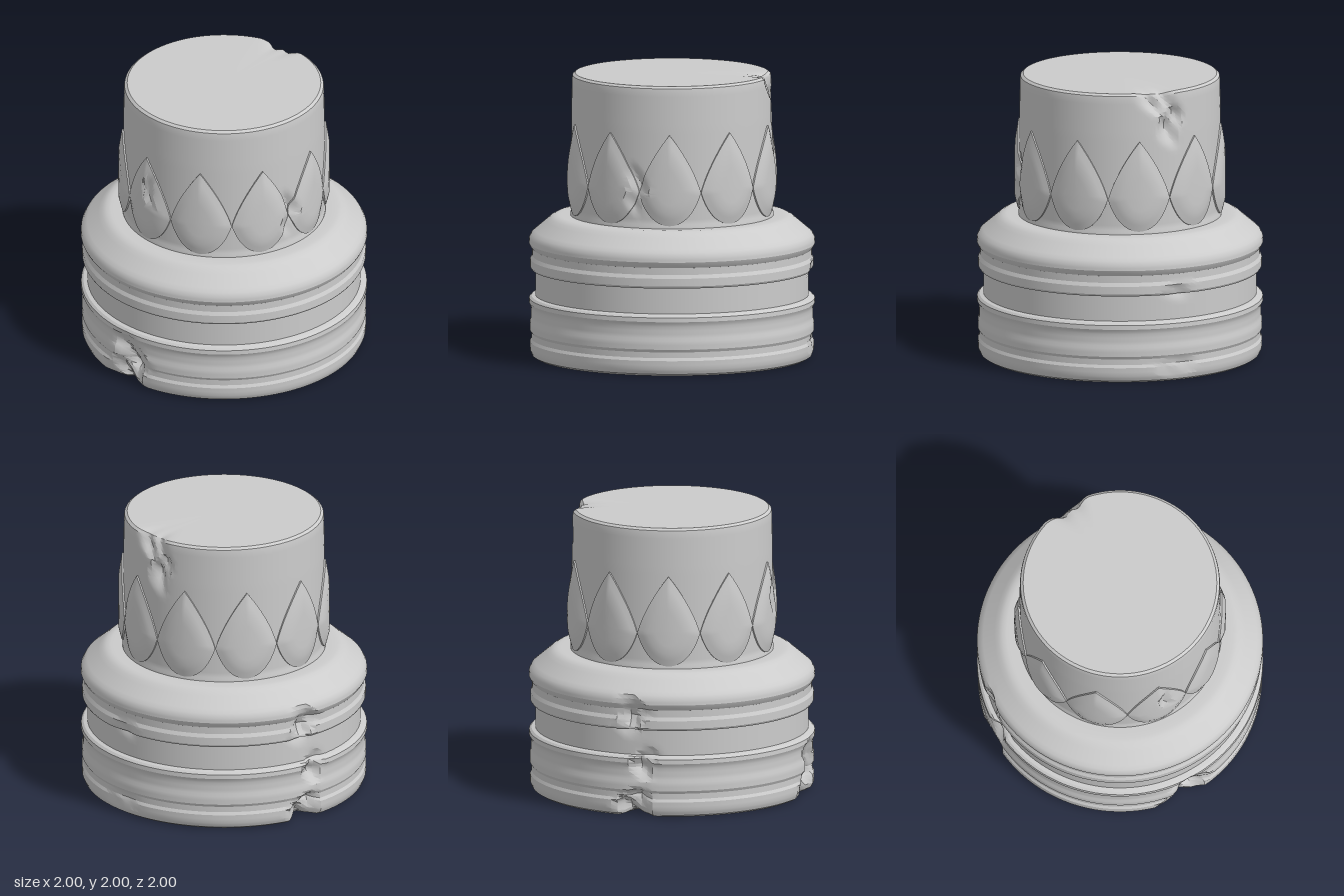
import * as THREE from 'three';
import { toCreasedNormals } from 'three/addons/utils/BufferGeometryUtils.js';

const material = new THREE.MeshStandardMaterial({ color: 0xcccccc });

// Worn spots: azimuth in degrees from the front, height, half angle, half height, depth, drop of the rim
const chips = [
  [-65, 0.13, 0.17, 0.3, 0.1, 0],
  [-70, 0.02, 0.15, 0.16, 0.05, 0],
  [203, 0.05, 0.14, 0.17, 0.09, -0.04],
  [207, 0.38, 0.1, 0.13, 0.06, 0],
  [201, 0.72, 0.11, 0.17, 0.07, 0],
  [123, 0.64, 0.14, 0.07, 0.025, 0],
  [122, 0.1, 0.2, 0.08, 0.015, 0],
  [121, 1.98, 0.26, 0.17, 0.06, 0.03],
  [127, 1.78, 0.15, 0.2, 0.06, 0],
  [17, 1.27, 0.1, 0.2, 0.035, 0],
  [-68, 1.4, 0.08, 0.15, 0.03, 0],
];

// Pushes vertices inward at the worn spots; caps fade out towards the axis
function wear(geometry, rim) {
  const p = geometry.attributes.position;
  for (let i = 0; i < p.count; i++) {
    const x = p.getX(i), y = p.getY(i), z = p.getZ(i);
    const r = Math.hypot(x, z), a = Math.atan2(x, z);
    let push = 0, drop = 0;
    for (const [deg, cy, ha, hy, depth, fall] of chips) {
      let da = a - THREE.MathUtils.degToRad(deg) + 0.03 * Math.sin(y * 23);
      da = Math.atan2(Math.sin(da), Math.cos(da));
      const d2 = (da / ha) ** 2 + ((y - cy) / hy) ** 2;
      if (d2 >= 1) continue;
      const w = (1 - d2) * Math.sqrt(1 - d2) * (0.9 + 0.25 * Math.sin(31 * a + 27 * y));
      push = Math.max(push, depth * w);
      drop += fall * w;
    }
    const fade = Math.min(1, (r / rim) ** 7);
    const s = r > 0 ? (r - push * fade) / r : 1;
    p.setXYZ(i, x * s, y - drop * fade, z * s);
  }
  return toCreasedNormals(geometry, 0.45);
}

// Revolved solid with its profile split finely enough to carry the wear
function turned(name, profile, segments, rim) {
  const points = [new THREE.Vector2(...profile[0])];
  for (let i = 1; i < profile.length; i++) {
    const a = new THREE.Vector2(...profile[i - 1]), b = new THREE.Vector2(...profile[i]);
    const n = Math.ceil(a.distanceTo(b) / 0.035);
    for (let k = 1; k <= n; k++) points.push(a.clone().lerp(b, k / n));
  }
  const mesh = new THREE.Mesh(wear(new THREE.LatheGeometry(points, segments), rim), material);
  mesh.name = name;
  return mesh;
}

// Raised teardrop wrapped on the drum, lofted from its outline to its flat centre
function petal(angle, outline) {
  const rings = [[1, 0.68], [1, 0.713], [0.82, 0.725], [0.64, 0.736], [0.4, 0.737], [0.2, 0.738], [0, 0.738]];
  const n = outline.length, midY = 1.27, pos = [], index = [];
  rings.forEach(([scale, r], k) => outline.forEach((pt, i) => {
    const a = angle + (pt.x * scale) / 0.715;
    pos.push(r * Math.sin(a), midY + (pt.y - midY) * scale, r * Math.cos(a));
    if (k === rings.length - 1) return;
    const j = (i + 1) % n, u = k * n, v = u + n;
    index.push(u + i, u + j, v + j, u + i, v + j, v + i);
  }));
  const g = new THREE.BufferGeometry();
  g.setAttribute('position', new THREE.Float32BufferAttribute(pos, 3));
  g.setIndex(index);
  return new THREE.Mesh(wear(g, 0.68), material);
}

export function createModel() {
  const model = new THREE.Group();
  model.name = 'carvedPedestal';

  // Moulded base: stepped foot, recessed waist, beaded collar and sloping shoulder
  model.add(turned('base', [
    [0, 0], [0.95, 0], [0.975, 0.015], [0.99, 0.05], [0.992, 0.11], [0.981, 0.13], [0.981, 0.17],
    [0.992, 0.19], [0.992, 0.25], [0.984, 0.27], [0.984, 0.35], [0.99, 0.37], [0.998, 0.385],
    [0.996, 0.415], [0.98, 0.43], [0.953, 0.437], [0.953, 0.62], [0.98, 0.62], [0.989, 0.635],
    [0.989, 0.69], [0.976, 0.715], [0.976, 0.765], [0.99, 0.785], [0.999, 0.805], [0.996, 0.84],
    [0.98, 0.87], [0.85, 0.98], [0.82, 0.996], [0.79, 1], [0.66, 1],
  ], 144, 0.95));

  // Plain drum with softened top rim
  model.add(turned('drum', [
    [0.709, 0.98], [0.709, 1.015], [0.702, 1.03], [0.702, 1.7], [0.698, 1.96], [0.694, 1.985],
    [0.675, 2], [0, 2],
  ], 144, 0.69));

  // Ring of ten teardrop petals
  const shape = new THREE.Shape();
  shape.moveTo(0, 1.02);
  shape.bezierCurveTo(0.1, 1.02, 0.18, 1.11, 0.224, 1.25);
  shape.bezierCurveTo(0.185, 1.39, 0.09, 1.55, 0, 1.66);
  shape.bezierCurveTo(-0.09, 1.55, -0.185, 1.39, -0.224, 1.25);
  shape.bezierCurveTo(-0.18, 1.11, -0.1, 1.02, 0, 1.02);
  const outline = shape.getPoints(16).slice(0, -1);
  const petals = new THREE.Group();
  petals.name = 'petals';
  for (let i = 0; i < 10; i++) {
    const mesh = petal((i * Math.PI) / 5, outline);
    mesh.name = 'petal' + (i + 1);
    petals.add(mesh);
  }
  model.add(petals);
  return model;
}
